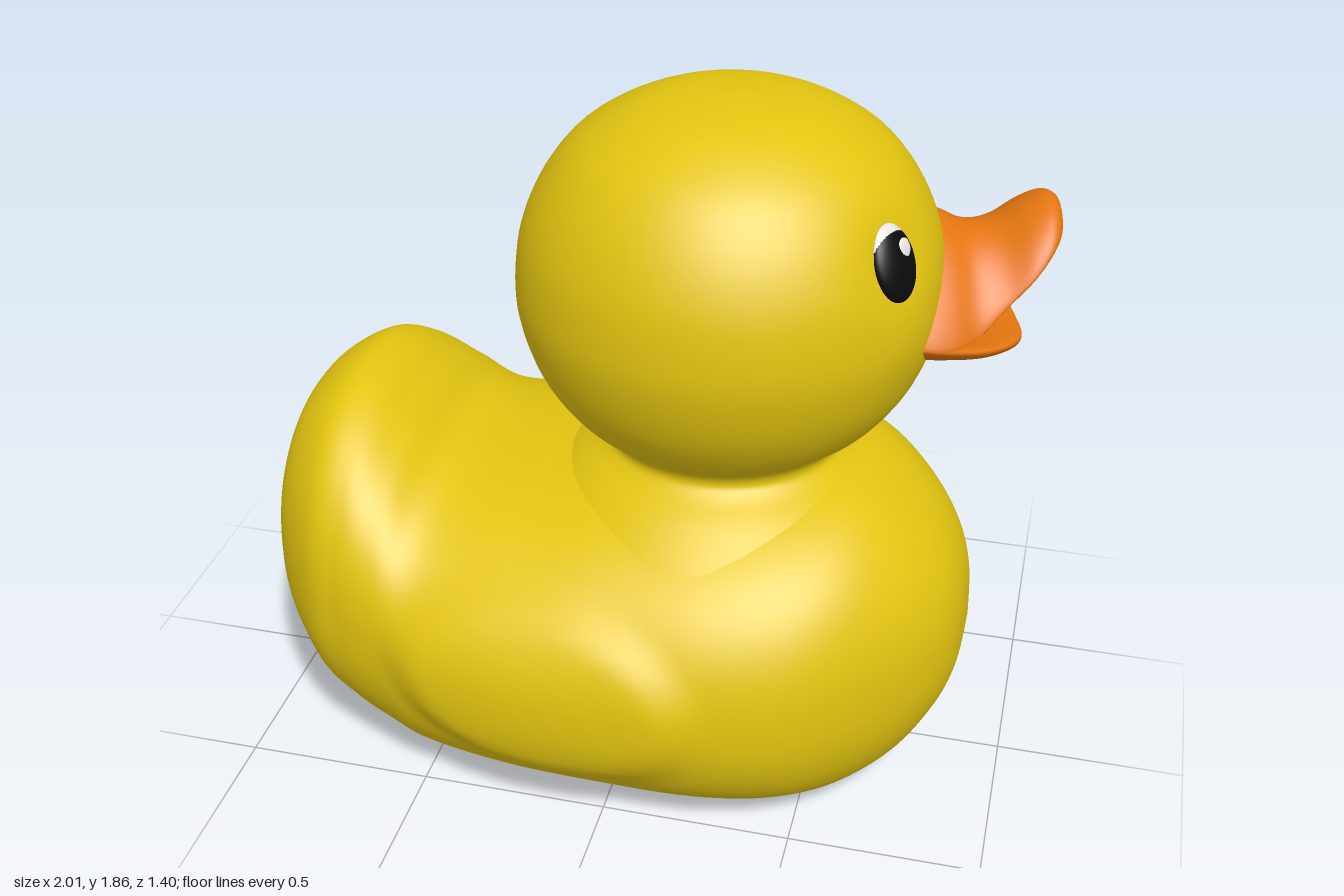
import * as THREE from 'three';
import { mergeVertices } from 'three/addons/utils/BufferGeometryUtils.js';

const mat = (name, color) => {
  const m = new THREE.MeshStandardMaterial({ color });
  m.name = name;
  return m;
};

// Catmull-Rom interpolation through rows of numbers
function smoothRows(rows, steps) {
  const out = [];
  const at = (i) => rows[Math.min(Math.max(i, 0), rows.length - 1)];
  for (let i = 0; i < rows.length - 1; i++) {
    for (let k = 0; k < steps; k++) {
      const t = k / steps;
      out.push(at(i).map((p1, c) => {
        const p0 = at(i - 1)[c], p2 = at(i + 1)[c], p3 = at(i + 2)[c];
        return p1 + 0.5 * t * (p2 - p0 + t * (2 * p0 - 5 * p1 + 4 * p2 - p3 + t * (3 * (p1 - p2) + p3 - p0)));
      }));
    }
  }
  out.push(at(rows.length - 1));
  return out;
}

// Closed skin through one ring of points per row; pointAt(row, angle) -> [x, y, z]
function loft(rows, steps, sides, pointAt) {
  const rings = smoothRows(rows, steps), pos = [], index = [];
  rings.forEach((r) => {
    for (let j = 0; j < sides; j++) pos.push(...pointAt(r, (j / sides) * Math.PI * 2));
  });
  for (let i = 0; i < rings.length - 1; i++) {
    for (let j = 0; j < sides; j++) {
      const k = (j + 1) % sides, a = i * sides, b = a + sides;
      index.push(a + j, b + j, a + k, b + j, b + k, a + k);
    }
  }
  const g = new THREE.BufferGeometry();
  g.setAttribute('position', new THREE.Float32BufferAttribute(pos, 3));
  g.setIndex(index);
  g.computeVertexNormals();
  return g;
}

// Body: rows of x, half width, top, bottom, height of the widest point
const BODY = [
  [-1, 0, 0.55, 0.55, 0.55], [-0.98, 0.2, 0.74, 0.38, 0.55], [-0.92, 0.35, 0.92, 0.25, 0.53],
  [-0.8, 0.49, 1.015, 0.11, 0.5], [-0.7, 0.54, 1.005, 0.04, 0.48], [-0.6, 0.575, 0.93, 0, 0.46],
  [-0.48, 0.61, 0.84, -0.03, 0.43], [-0.25, 0.65, 0.85, -0.04, 0.42], [0, 0.665, 0.89, -0.04, 0.42],
  [0.25, 0.66, 0.91, -0.04, 0.42], [0.45, 0.61, 0.91, -0.03, 0.42], [0.6, 0.52, 0.88, 0, 0.43],
  [0.73, 0.39, 0.79, 0.08, 0.43], [0.82, 0.26, 0.68, 0.2, 0.43], [0.865, 0.14, 0.57, 0.31, 0.43],
  [0.88, 0, 0.44, 0.44, 0.44],
];

function bodyPoint([x, w, top, bottom, mid], a) {
  const c = Math.cos(a), s = Math.sin(a), e = 2 / 2.25;
  const up = Math.pow(Math.abs(s), e);
  const y = Math.max(0, s > 0 ? mid + (top - mid) * up : mid - (mid - bottom) * up);
  // Folded wing: a soft raised oval on each flank
  const d = Math.hypot((x + 0.13) / 0.43, (y - 0.45 + 0.06 * x) / 0.27);
  const wing = 0.035 * (1 - THREE.MathUtils.smoothstep(d, 0.7, 1.05));
  const z = Math.sign(c) * (Math.max(w, 0) * Math.pow(Math.abs(c), e) + wing * Math.abs(c));
  return [x, y, z];
}

// Bill: rows of forward distance, half width, centre height, edge height, half thickness
const UPPER_BILL = [
  [0.36, 0.27, 1.5, 1.3, 0.04], [0.45, 0.285, 1.5, 1.29, 0.04], [0.52, 0.275, 1.485, 1.285, 0.04],
  [0.59, 0.235, 1.455, 1.3, 0.04], [0.66, 0.2, 1.465, 1.36, 0.04], [0.73, 0.18, 1.51, 1.43, 0.04],
  [0.78, 0.14, 1.535, 1.485, 0.036], [0.808, 0.08, 1.535, 1.51, 0.026], [0.818, 0, 1.53, 1.53, 0],
];
const LOWER_BILL = [
  [0.36, 0.26, 1.21, 1.3, 0.04], [0.45, 0.28, 1.21, 1.29, 0.04], [0.54, 0.27, 1.205, 1.275, 0.037],
  [0.62, 0.23, 1.2, 1.255, 0.035], [0.69, 0.17, 1.203, 1.24, 0.033], [0.73, 0.1, 1.207, 1.225, 0.026],
  [0.745, 0, 1.21, 1.21, 0],
];

function billPoint([u, w, centre, edge, thick], a) {
  const s = Math.sin(a);
  return [u, edge + (centre - edge) * s * s + thick * s, w * Math.cos(a)];
}

const EYE_ANGLE = THREE.MathUtils.degToRad(43);
const eyePosition = (side, r) =>
  new THREE.Vector3(r * Math.cos(EYE_ANGLE), 1.55, side * r * Math.sin(EYE_ANGLE));

// Head and neck: turned profile with a shallow socket pressed in behind each eye
function headGeometry() {
  const profile = [
    [0.5, 0.78], [0.4, 0.86], [0.33, 0.905], [0.308, 0.935], [0.33, 0.975], [0.41, 1.04], [0.485, 1.15],
    [0.528, 1.28], [0.535, 1.39], [0.515, 1.52], [0.455, 1.65], [0.36, 1.755], [0.2, 1.835], [0, 1.86],
  ].map(([r, y]) => new THREE.Vector2(r, y));
  const pts = new THREE.SplineCurve(profile).getPoints(64);
  pts.forEach((p) => { p.x = Math.max(p.x, 0); });
  let g = new THREE.LatheGeometry(pts, 80);
  g.scale(1, 1, 0.97);
  g.deleteAttribute('uv');
  g.deleteAttribute('normal');
  g = mergeVertices(g, 1e-4);
  const p = g.attributes.position, v = new THREE.Vector3(), core = new THREE.Vector3(0, 1.38, 0);
  for (let i = 0; i < p.count; i++) {
    v.fromBufferAttribute(p, i);
    for (const side of [1, -1]) {
      const d = v.distanceTo(eyePosition(side, 0.495));
      const inward = core.clone().sub(v).normalize();
      v.addScaledVector(inward, 0.025 * Math.exp(-((d / 0.1) ** 2)));
    }
    p.setXYZ(i, v.x, v.y, v.z);
  }
  g.computeVertexNormals();
  return g;
}

export function createModel() {
  const yellow = mat('duckYellow', 0xe3c410);
  const orange = mat('billOrange', 0xe5760f);
  const black = mat('eyeBlack', 0x0b0b0b);
  const white = mat('eyeWhite', 0xf4f4f4);

  const add = (parent, name, geometry, material) => {
    const mesh = new THREE.Mesh(geometry, material);
    mesh.name = name;
    parent.add(mesh);
    return mesh;
  };
  const ball = new THREE.SphereGeometry(1, 32, 24);
  const blob = (parent, name, material, position, scale) => {
    const mesh = add(parent, name, ball, material);
    mesh.position.set(...position);
    mesh.scale.set(...scale);
    return mesh;
  };

  const model = new THREE.Group();
  model.name = 'bathDuck';
  add(model, 'body', loft(BODY, 8, 80, bodyPoint), yellow);

  // Head is turned slightly to one side
  const head = new THREE.Group();
  head.name = 'head';
  head.position.x = 0.21;
  head.rotation.y = 0.3;
  model.add(head);
  add(head, 'headAndNeck', headGeometry(), yellow);

  // Open bill with the mouth lining behind it
  add(head, 'upperBill', loft(UPPER_BILL, 6, 40, billPoint), orange);
  add(head, 'lowerBill', loft(LOWER_BILL, 6, 40, billPoint), orange);
  blob(head, 'mouth', orange, [0.45, 1.33, 0], [0.115, 0.13, 0.25]);

  // Eyes with a pale upper rim and a glint on the bill side
  for (const side of [1, -1]) {
    const eye = new THREE.Group();
    eye.name = side > 0 ? 'leftEye' : 'rightEye';
    eye.position.copy(eyePosition(side, 0.476));
    eye.rotation.order = 'YXZ';
    eye.rotation.y = Math.PI / 2 - side * EYE_ANGLE;
    eye.rotation.x = -0.36;
    head.add(eye);
    blob(eye, 'pupil', black, [0, 0, 0], [0.073, 0.093, 0.03]);
    blob(eye, 'eyeRim', white, [0, 0.008, -0.002], [0.07, 0.091, 0.029]);
    blob(eye, 'glint', white, [side * 0.02, 0.032, 0.026], [0.021, 0.024, 0.005]);
  }
  return model;
}
